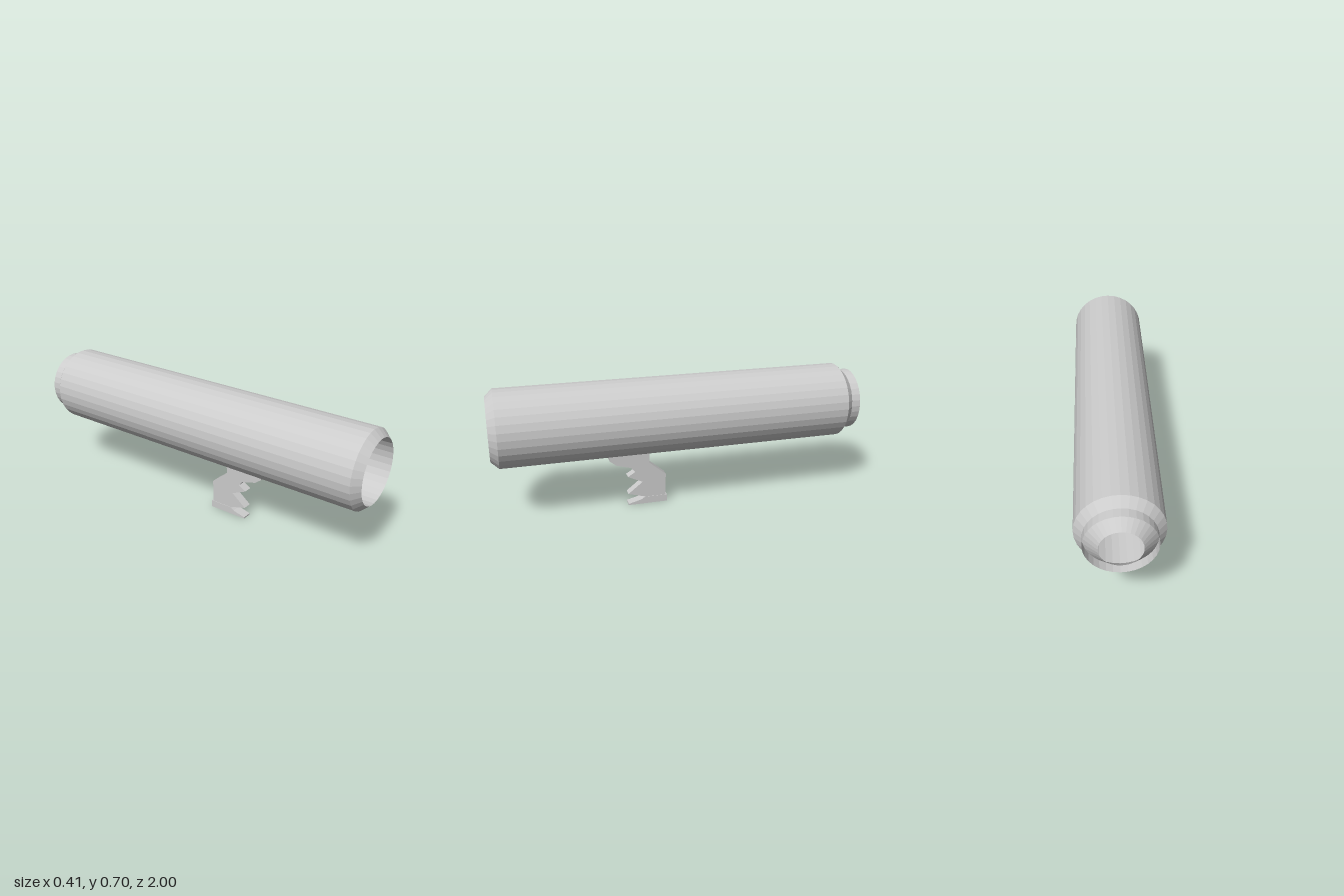
import * as THREE from 'three';

const SIDES = 32, AXIS_Y = 0.4975;

function material(side = THREE.FrontSide) {
  return new THREE.MeshStandardMaterial({ color: 0xcccccc, flatShading: true, side });
}

function addMesh(group, name, geometry, side) {
  const mesh = new THREE.Mesh(geometry, material(side));
  mesh.name = name;
  group.add(mesh);
  return mesh;
}

// Turns [radius, z] pairs around the barrel axis
function turned(profile) {
  const points = profile.map(([r, z]) => new THREE.Vector2(r, z));
  return new THREE.LatheGeometry(points, SIDES).rotateX(Math.PI / 2).translate(0, AXIS_Y, 0);
}

// Extrudes a [z, y] outline across x, centred on x = 0
function slab(outline, width) {
  const shape = new THREE.Shape(outline.map(([z, y]) => new THREE.Vector2(z, y)));
  return new THREE.ExtrudeGeometry(shape, { depth: width, bevelEnabled: false })
    .rotateY(-Math.PI / 2).translate(width / 2, 0, 0);
}

export function createModel() {
  const model = new THREE.Group();
  model.name = 'tubeWithGrip';

  // Hollow barrel: rear cone, shoulder, outer wall, front chamfer, bore
  addMesh(model, 'barrel', turned([
    [0.0975, -1], [0.165, -0.93], [0.2025, -0.89], [0.2025, 0.96],
    [0.165, 1], [0.165, -0.926], [0.0975, -1],
  ]));

  // Thin collar standing around the rear cone
  addMesh(model, 'rearCollar', turned([[0.165, -0.978], [0.165, -0.93]]), THREE.DoubleSide);

  const grip = new THREE.Group();
  grip.name = 'grip';
  model.add(grip);

  // Mount passing through the barrel wall
  addMesh(grip, 'gripMount', slab([
    [0.18, 0.27], [0.395, 0.27], [0.4, 0.295], [0.4, 0.38], [0.18, 0.38],
  ], 0.054));

  // Grip blade with finger notches along the front edge
  addMesh(grip, 'gripBlade', slab([
    [0.18, 0.3], [0.18, 0.235], [0.09, 0.16], [0.095, 0.02], [0.23, 0.02],
    [0.21, 0.04], [0.3, 0.065], [0.22, 0.128], [0.3, 0.165], [0.26, 0.19],
    [0.28, 0.215], [0.36, 0.238], [0.395, 0.265], [0.4, 0.3],
  ], 0.049));

  // Wedge-toed foot
  addMesh(grip, 'gripFoot', slab([
    [0.085, 0], [0.3, 0], [0.3, 0.007], [0.23, 0.025], [0.21, 0.038], [0.085, 0.038],
  ], 0.054));

  return model;
}
